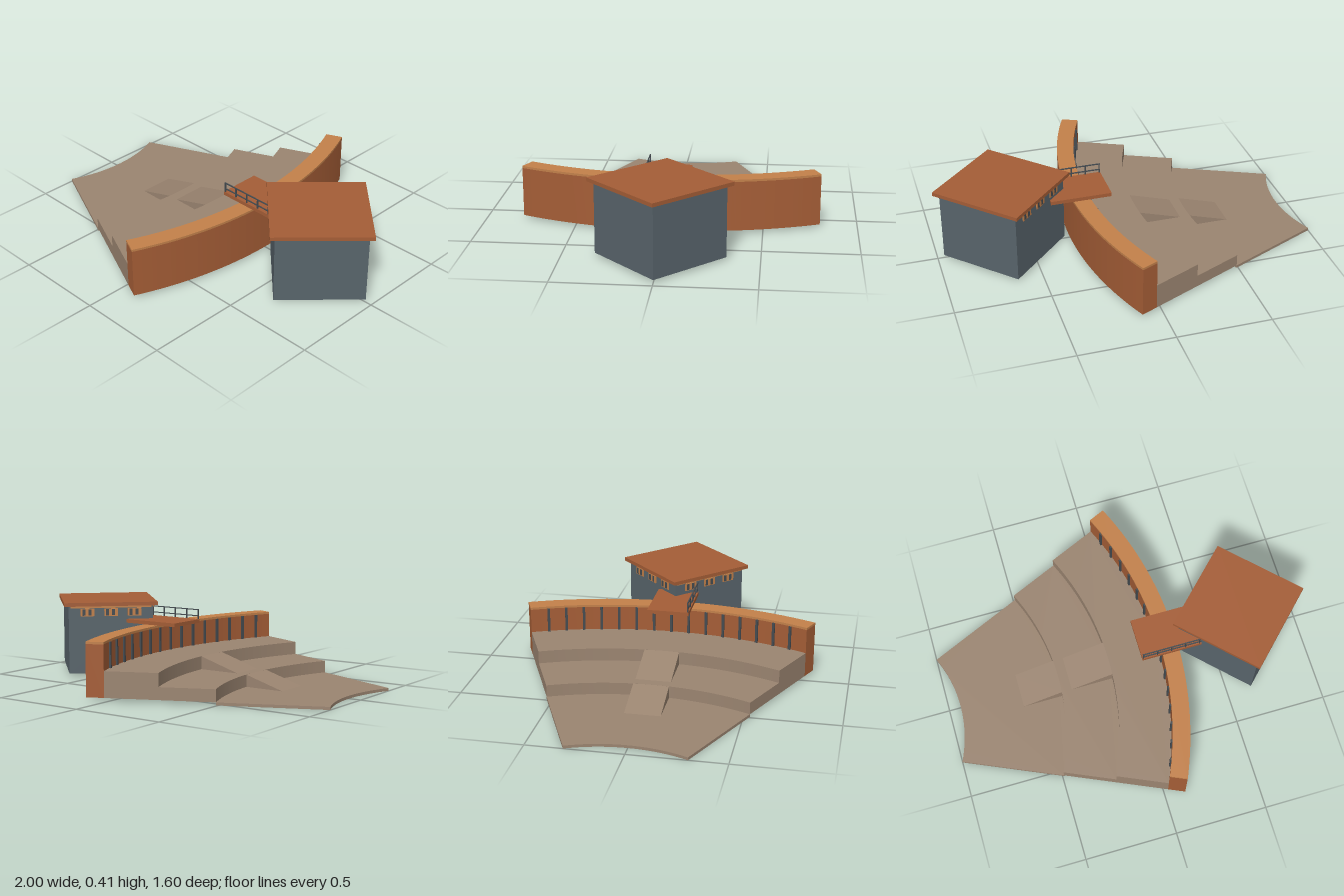
import * as THREE from 'three';

const CX = -1.684;               // common centre of all the arcs
const HALF = 24.04 * Math.PI / 180;

export function createModel() {
  const root = new THREE.Group();
  const mat = (name, color) => {
    const m = new THREE.MeshStandardMaterial({ color });
    m.name = name;
    return m;
  };
  const sand = mat('sand concrete', 0x9a8470);
  const rust = mat('rust timber', 0xa45d36);
  const wood = mat('light timber', 0xc2804a);
  const slate = mat('slate cladding', 0x58646b);
  const steel = mat('dark steel', 0x444b50);

  const add = (parent, name, geo, material, x = 0, y = 0, z = 0) => {
    const m = new THREE.Mesh(geo, material);
    m.name = name;
    m.position.set(x, y, z);
    parent.add(m);
    return m;
  };
  const box = (parent, name, material, w, h, d, x, y, z) =>
    add(parent, name, new THREE.BoxGeometry(w, h, d), material, x, y, z);

  // Ring sector between two radii and two heights
  const sector = (name, material, r0, r1, y0, y1) => {
    const s = new THREE.Shape();
    s.absarc(0, 0, r1, -HALF, HALF, false);
    s.absarc(0, 0, r0, HALF, -HALF, true);
    const g = new THREE.ExtrudeGeometry(s, { depth: y1 - y0, bevelEnabled: false, curveSegments: 32 });
    g.rotateX(-Math.PI / 2);
    return add(root, name, g, material, CX, y0, 0);
  };

  // Stage, two terraces and the curved back wall
  sector('stageFloor', sand, 0.749, 1.306, 0, 0.015);
  sector('lowerTerrace', sand, 1.306, 1.593, 0.015, 0.08);
  sector('upperTerrace', sand, 1.593, 1.871, 0.015, 0.15);
  sector('backWall', rust, 1.871, 1.964, 0.015, 0.283);
  sector('wallCap', wood, 1.871, 1.964, 0.283, 0.295);

  // Thin posts along the inside of the wall
  const posts = new THREE.Group();
  posts.name = 'wallPosts';
  root.add(posts);
  for (let i = -7; i <= 7; i++) {
    const a = i * HALF / 8;
    const p = box(posts, 'wallPost', steel, 0.012, 0.133, 0.014,
      CX + 1.868 * Math.cos(a), 0.2165, 1.868 * Math.sin(a));
    p.rotation.y = -a;
  }

  // Central ramps up each terrace
  const ramp = (name, x0, x1, y0, y1) => {
    const s = new THREE.Shape([
      new THREE.Vector2(x0, y0), new THREE.Vector2(x1, y0), new THREE.Vector2(x1, y1)]);
    const g = new THREE.ExtrudeGeometry(s, { depth: 0.19, bevelEnabled: false });
    add(root, name, g, sand, 0, 0, -0.095);
  };
  ramp('lowerRamp', -0.6, -0.378, 0.015, 0.08);
  ramp('upperRamp', -0.325, -0.091, 0.08, 0.15);

  // Footbridge with a railing along one side
  box(root, 'footbridge', rust, 0.33, 0.02, 0.23, 0.235, 0.305, 0);
  const railing = new THREE.Group();
  railing.name = 'railing';
  root.add(railing);
  for (let i = 0; i < 5; i++)
    box(railing, 'railPost', steel, 0.006, 0.055, 0.006, 0.076 + i * 0.078, 0.3425, 0.11);
  for (const y of [0.334, 0.368])
    box(railing, 'rail', steel, 0.326, 0.005, 0.006, 0.235, y, 0.11);

  // Square house turned by 45 degrees
  const house = new THREE.Group();
  house.name = 'house';
  house.position.x = 0.635;
  house.rotation.y = Math.PI / 4;
  root.add(house);
  const side = 0.33 * Math.SQRT2, roof = 0.365 * Math.SQRT2;
  box(house, 'houseWalls', slate, side, 0.375, side, 0, 0.2025, 0);
  box(house, 'roof', rust, roof, 0.02, roof, 0, 0.4, 0);

  // Window bands on the two faces looking at the terraces
  for (const turn of [-Math.PI / 2, Math.PI]) {
    const band = new THREE.Group();
    band.name = 'windowBand';
    band.rotation.y = turn;
    house.add(band);
    const z = side / 2;
    box(band, 'headTrim', wood, side - 0.02, 0.01, 0.008, 0, 0.383, z + 0.002);
    for (const x of [-0.13, 0, 0.13]) {
      box(band, 'window', wood, 0.075, 0.042, 0.004, x, 0.354, z + 0.002);
      for (const dx of [-0.02, 0.014])
        box(band, 'windowPane', steel, 0.016, 0.034, 0.003, x + dx, 0.354, z + 0.004);
    }
  }
  return root;
}
